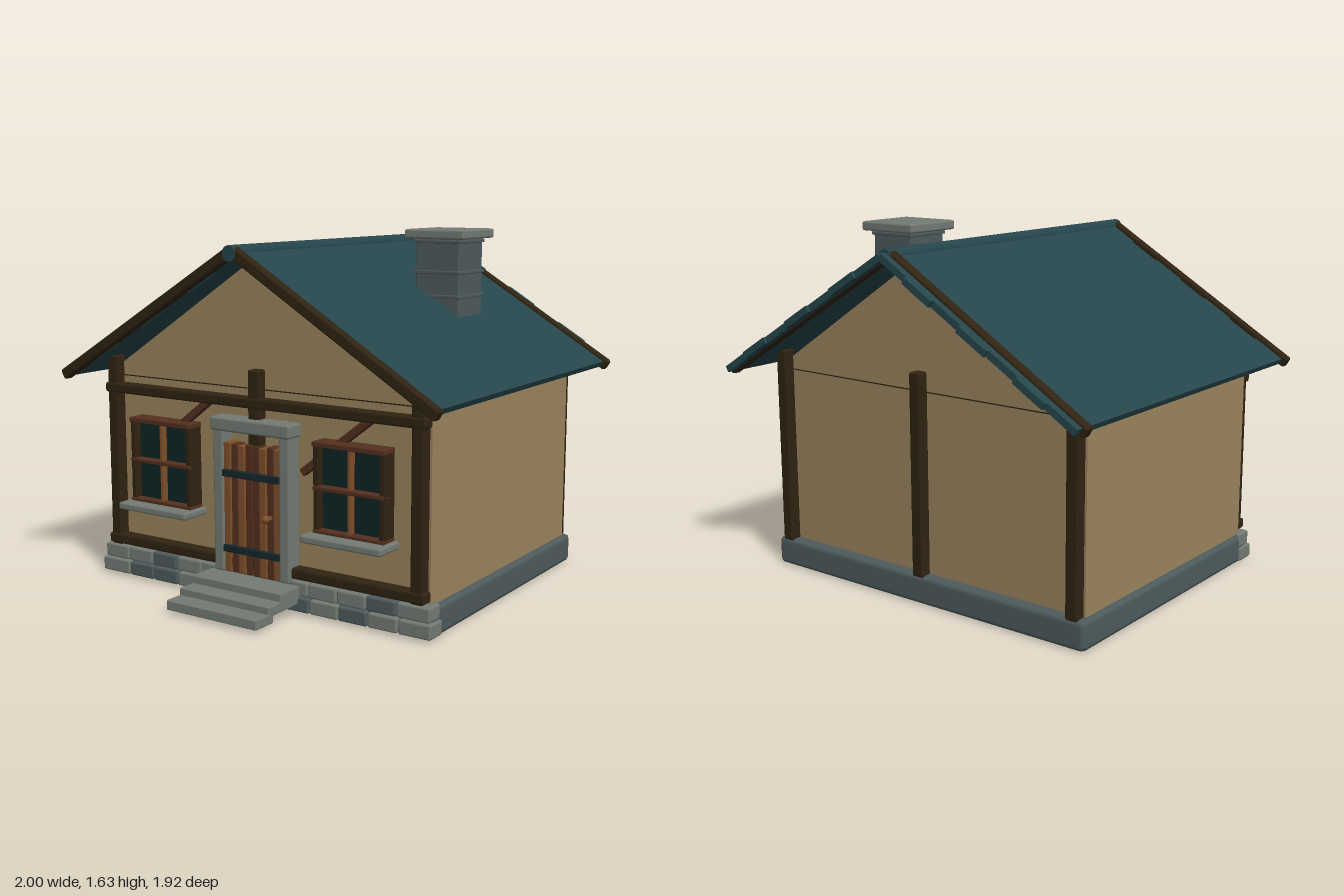
import * as THREE from 'three';
import { RoundedBoxGeometry } from 'three/addons/geometries/RoundedBoxGeometry.js';

const mat = (name, color) => {
  const m = new THREE.MeshStandardMaterial({ color });
  m.name = name;
  return m;
};

export function createModel() {
  const M = {
    plaster: mat('plaster', 0x9b845d),
    timber: mat('dark timber', 0x302312),
    redWood: mat('red brown wood', 0x54301f),
    oak: mat('oak', 0x80502a),
    stone: mat('light stone', 0x737b74),
    slate: mat('dark stone', 0x4e5b5d),
    roof: mat('roof teal', 0x25464c),
    glass: mat('window glass', 0x0e2424),
    iron: mat('iron', 0x14272b),
  };
  const house = new THREE.Group();
  house.name = 'cottage';

  const add = (name, geo, material, parent = house) => {
    const mesh = new THREE.Mesh(geo, material);
    mesh.name = name;
    parent.add(mesh);
    return mesh;
  };
  // Box given by its limits, with an optional softened edge
  const block = (name, material, [x0, x1], [y0, y1], [z0, z1], bevel = 0, parent = house) => {
    const w = x1 - x0, h = y1 - y0, d = z1 - z0;
    const geo = bevel ? new RoundedBoxGeometry(w, h, d, 1, bevel) : new THREE.BoxGeometry(w, h, d);
    const mesh = add(name, geo, material, parent);
    mesh.position.set((x0 + x1) / 2, (y0 + y1) / 2, (z0 + z1) / 2);
    return mesh;
  };
  // Beam between two points in the xy plane
  const beam = (name, material, [ax, ay], [bx, by], z, thick, depth, bevel) => {
    const mesh = add(name, new RoundedBoxGeometry(Math.hypot(bx - ax, by - ay), thick, depth, 1, bevel), material);
    mesh.position.set((ax + bx) / 2, (ay + by) / 2, z);
    mesh.rotation.z = Math.atan2(by - ay, bx - ax);
    return mesh;
  };

  // Foundation with two staggered courses of facing stones
  block('foundation', M.slate, [-0.885, 0.885], [0, 0.135], [-0.755, 0.635], 0.025);
  for (let row = 0; row < 2; row++) {
    const y = row ? 0.079 : 0.012, end = row ? 0.89 : 0.9;
    let x = -end;
    for (let i = 0; x < end - 0.01; i++) {
      const w = i === 0 && !row ? 0.17 : 0.147;
      const x1 = x + w > end - 0.06 ? end : x + w;
      const dark = (i * 5 + row * 3) % 4 === 1 || (row === 0 && i % 5 === 2);
      block('facingStone', dark ? M.slate : M.stone, [x + 0.003, x1 - 0.003],
        [y, y + 0.066], [0.56, row ? 0.655 : 0.665], 0.01);
      x = x1;
    }
  }

  // Walls and gables
  block('walls', M.plaster, [-0.86, 0.86], [0.13, 0.955], [-0.705, 0.6]);
  const gable = new THREE.Shape();
  gable.moveTo(-0.86, 0.955);
  gable.lineTo(0.86, 0.955);
  gable.lineTo(0.86, 0.972);
  gable.lineTo(0, 1.535);
  gable.lineTo(-0.86, 0.972);
  for (const z of [-0.705, 0.55]) {
    add('gable', new THREE.ExtrudeGeometry(gable, { depth: 0.05, bevelEnabled: false }), M.plaster).position.z = z;
  }
  block('frontSeam', M.timber, [-0.8, 0.8], [0.953, 0.958], [0.598, 0.602]);
  block('backSeam', M.timber, [-0.8, 0.8], [0.953, 0.958], [-0.707, -0.703]);

  // Timber frame
  for (const s of [-1, 1]) {
    const x = [s * 0.82 - 0.03, s * 0.82 + 0.03];
    block('frontPost', M.timber, x, [0.145, 1.05], [0.585, 0.65], 0.01);
    block('backPost', M.timber, x, [0.125, 1.05], [-0.755, -0.69], 0.01);
  }
  block('frontKingPost', M.timber, [-0.03, 0.03], [0.7, 1.045], [0.585, 0.65], 0.01);
  block('backKingPost', M.timber, [-0.03, 0.03], [0.125, 1.045], [-0.755, -0.69], 0.01);
  block('tieBeam', M.timber, [-0.86, 0.86], [0.876, 0.922], [0.59, 0.657], 0.01);
  block('sillBeam', M.timber, [-0.86, 0.86], [0.152, 0.2], [0.59, 0.657], 0.01);
  beam('leftBrace', M.redWood, [0.24, 0.62], [0.61, 0.905], 0.615, 0.035, 0.035, 0.006);
  beam('rightBrace', M.redWood, [-0.61, 0.62], [-0.24, 0.905], 0.615, 0.035, 0.035, 0.006);

  // Windows
  for (const s of [-1, 1]) {
    const win = new THREE.Group();
    win.name = s > 0 ? 'leftWindow' : 'rightWindow';
    win.position.x = s * 0.51;
    house.add(win);
    block('glass', M.glass, [-0.16, 0.16], [0.39, 0.765], [0.59, 0.642], 0, win);
    for (const t of [-1, 1]) {
      block('frameSide', M.timber, [t * 0.163 - 0.012, t * 0.163 + 0.012], [0.385, 0.775], [0.59, 0.68], 0.004, win);
    }
    block('frameTop', M.redWood, [-0.177, 0.177], [0.755, 0.778], [0.59, 0.688], 0.004, win);
    block('frameBottom', M.redWood, [-0.177, 0.177], [0.38, 0.4], [0.59, 0.685], 0.004, win);
    block('crossBar', M.redWood, [-0.175, 0.175], [0.57, 0.588], [0.63, 0.685], 0.004, win);
    block('uprightBar', M.oak, [-0.009, 0.009], [0.39, 0.765], [0.63, 0.672], 0.004, win);
    block('windowSill', M.stone, [-0.2, 0.2], [0.352, 0.386], [0.59, 0.75], 0.01, win);
  }

  // Door: planks, straps, knob and stone surround
  const planks = 8, pw = 0.31 / planks;
  for (let i = 0; i < planks; i++) {
    const x = -0.155 + i * pw;
    const dark = i === 1 || i === 3 || i === 4 || i === 6;
    block('doorPlank', dark ? M.redWood : M.oak, [x + 0.001, x + pw - 0.001],
      [0.13, 0.718 - (i % 3) * 0.004], [0.6, dark ? 0.66 : 0.665], 0.005);
  }
  for (const y of [0.24, 0.582]) {
    block('doorStrap', M.iron, [-0.153, 0.153], [y - 0.016, y + 0.016], [0.64, 0.679], 0.004);
  }
  const knob = add('doorKnob', new THREE.SphereGeometry(0.018, 12, 8), M.oak);
  knob.position.set(0.1, 0.41, 0.7);
  block('knobStem', M.oak, [0.093, 0.107], [0.403, 0.417], [0.65, 0.7]);
  for (const s of [-1, 1]) {
    block('doorJamb', M.stone, [s * 0.179 - 0.027, s * 0.179 + 0.027], [0.13, 0.78], [0.58, 0.675], 0.01);
  }
  block('doorLintel', M.stone, [-0.215, 0.215], [0.768, 0.83], [0.58, 0.687], 0.012);

  // Entrance steps
  block('topStep', M.stone, [-0.243, 0.243], [0.082, 0.127], [0.6, 0.79], 0.006);
  block('middleStep', M.stone, [-0.243, 0.243], [0.046, 0.092], [0.6, 0.875], 0.006);
  block('bottomStep', M.stone, [-0.243, 0.243], [0.015, 0.06], [0.84, 0.962], 0.006);

  // Roof: seven boards a side, every second one set back a little
  const rows = 7, slope = 0.602, edge = 0.97, ridgeY = 1.555;
  const pitch = Math.atan(slope), step = edge / rows;
  for (const s of [-1, 1]) {
    for (let i = 0; i < rows; i++) {
      const x = (i + 0.5) * step;
      const shift = i % 2 ? -0.015 : 0;
      const board = add('roofBoard', new THREE.BoxGeometry(step / Math.cos(pitch), 0.03, 1.695), M.roof);
      board.position.set(s * x, ridgeY - slope * x, -0.1 + shift);
      board.rotation.z = -s * pitch;
    }
    // Barge boards along the gable edges
    for (const z of [0.778, -0.89]) {
      beam('bargeBoard', M.timber, [0, 1.56], [s * 0.99, 0.962], z, 0.05, 0.047, 0.01);
    }
  }
  const ridge = add('ridgePole', new THREE.CylinderGeometry(0.035, 0.035, 1.72, 10), M.roof);
  ridge.rotation.x = Math.PI / 2;
  ridge.position.set(0, 1.55, -0.055);

  // Chimney
  const cx = 0.446, cz = -0.273;
  const tier = (name, material, r, y0, y1, bevel) =>
    block(name, material, [cx - r, cx + r], [y0, y1], [cz - r, cz + r], bevel);
  tier('chimneyShaft', M.slate, 0.114, 1.16, 1.6, 0.01);
  for (const y of [1.22, 1.325, 1.435, 1.575]) tier('chimneyBand', M.slate, 0.121, y - 0.008, y + 0.008, 0.004);
  tier('chimneyCap', M.stone, 0.153, 1.587, 1.63, 0.01);

  return house;
}
